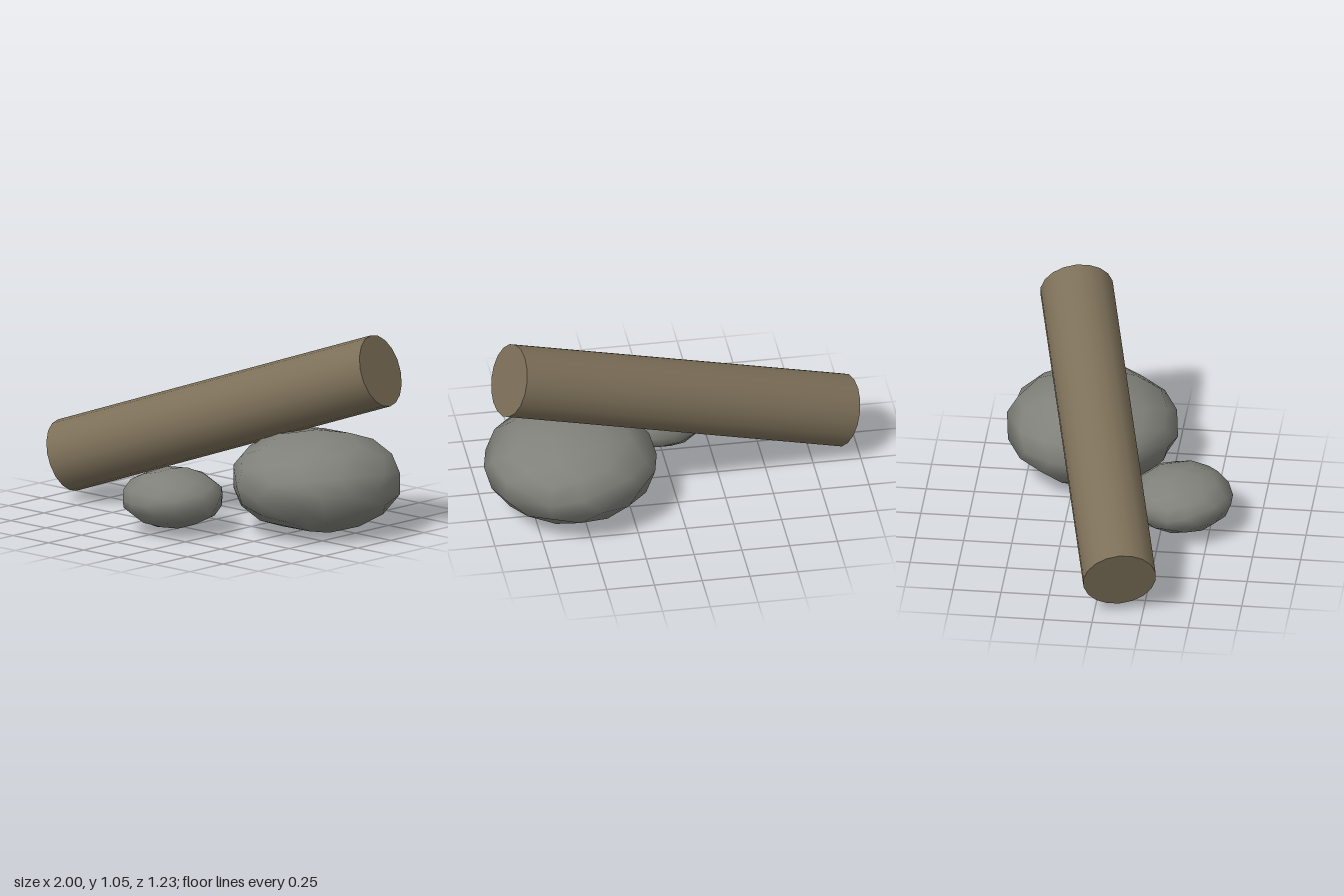
import * as THREE from 'three';

export function createModel() {
  const group = new THREE.Group();

  const wood = new THREE.MeshStandardMaterial({ color: 0x7d7059 });
  wood.name = 'weatheredWood';
  const stone = new THREE.MeshStandardMaterial({ color: 0x80817a });
  stone.name = 'greyStone';

  // Fallen log: a straight cylinder between two end centres
  const low = new THREE.Vector3(-0.925, 0.222, 0.135);
  const high = new THREE.Vector3(0.89, 0.875, -0.29);
  const axis = high.clone().sub(low);
  const log = new THREE.Mesh(new THREE.CylinderGeometry(0.19, 0.19, axis.length(), 18), wood);
  log.name = 'log';
  log.position.copy(low).add(high).multiplyScalar(0.5);
  log.quaternion.setFromUnitVectors(new THREE.Vector3(0, 1, 0), axis.normalize());
  group.add(log);

  // Flattened boulders, coarse outline with smooth shading
  function addRock(name, radius, height, position, turn) {
    const rock = new THREE.Mesh(new THREE.DodecahedronGeometry(1, 1), stone);
    rock.name = name;
    rock.scale.set(radius, height / 2, radius);
    rock.position.set(...position);
    rock.rotation.y = turn;
    group.add(rock);
  }
  addRock('largeRock', 0.45, 0.53, [0.55, 0.267, -0.17], -0.4);
  addRock('smallRock', 0.268, 0.31, [0.02, 0.178, 0.35], 1.4);

  return group;
}
